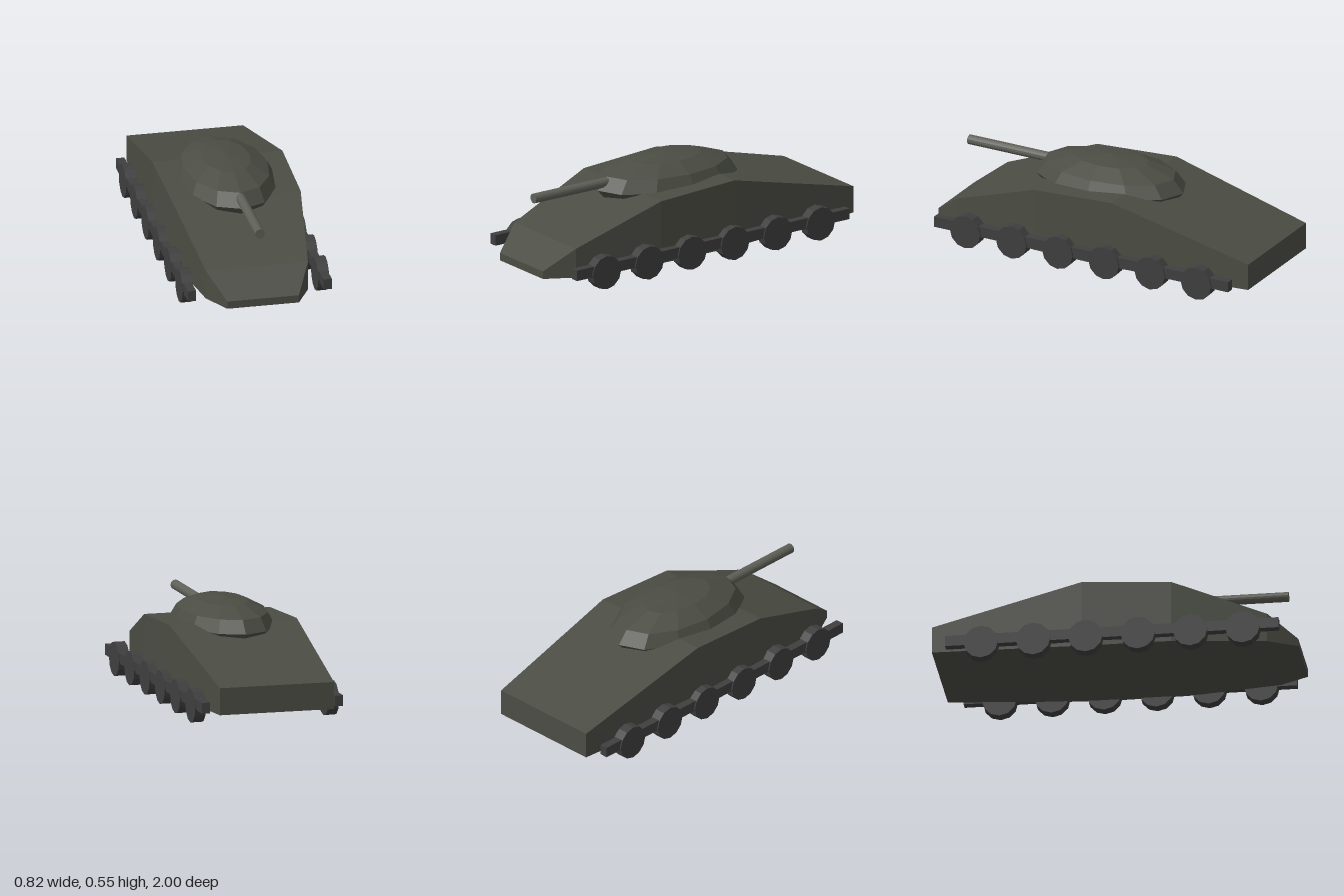
import * as THREE from 'three';

const paint = (color) => new THREE.MeshStandardMaterial({ color, flatShading: true });

// Lofts rectangular sections [z, halfWidth, bottom, top], ordered front to back
function hullGeometry(sections) {
  const pos = [];
  const rings = sections.map(([z, w, b, t]) => [[-w, b, z], [w, b, z], [w, t, z], [-w, t, z]]);
  const quad = (a, b, c, d) => pos.push(...a, ...b, ...c, ...a, ...c, ...d);
  for (let i = 0; i < rings.length - 1; i++) {
    const f = rings[i], r = rings[i + 1];
    for (let k = 0; k < 4; k++) {
      const n = (k + 1) % 4;
      quad(f[k], r[k], r[n], f[n]);
    }
  }
  quad(...rings[0]);
  quad(...rings[rings.length - 1].slice().reverse());
  const geo = new THREE.BufferGeometry();
  geo.setAttribute('position', new THREE.Float32BufferAttribute(pos, 3));
  geo.computeVertexNormals();
  return geo;
}

export function createModel() {
  const model = new THREE.Group();
  model.name = 'tank';
  const armour = paint(0x4b4d44);
  const steel = paint(0x5e5f57);
  const dark = paint(0x3e3f3e);

  const add = (name, geometry, material, x, y, z, parent = model) => {
    const mesh = new THREE.Mesh(geometry, material);
    mesh.name = name;
    mesh.position.set(x, y, z);
    parent.add(mesh);
    return mesh;
  };

  // Sloped hull with a narrow nose
  add('hull', hullGeometry([
    [1, 0.2, 0.057, 0.1],
    [0.84, 0.285, 0.057, 0.222],
    [0.32, 0.358, 0.057, 0.413],
    [-0.17, 0.363, 0.057, 0.44],
    [-1, 0.325, 0.085, 0.235],
  ]), armour, 0, 0, 0);

  // Faceted oval turret
  add('turret', new THREE.SphereGeometry(1, 12, 6).scale(0.27, 0.14, 0.45), armour, 0, 0.41, 0.035);

  // Gun barrel
  add('gunBarrel', new THREE.CylinderGeometry(0.027, 0.027, 0.72, 16).rotateX(Math.PI / 2), steel, 0, 0.45, 0.56);

  // Running gear: a bar with six wheels on each side
  const wheel = new THREE.CylinderGeometry(0.095, 0.095, 0.061, 12).rotateZ(Math.PI / 2);
  const bar = new THREE.BoxGeometry(0.046, 0.06, 1.835);
  for (const side of [-1, 1]) {
    const gear = new THREE.Group();
    gear.name = side > 0 ? 'leftRunningGear' : 'rightRunningGear';
    model.add(gear);
    add('trackBar', bar, dark, side * 0.379, 0.113, 0, gear);
    for (let i = 0; i < 6; i++) {
      add('wheel', wheel, dark, side * 0.379, 0.095, 0.72 - i * 0.288, gear);
    }
  }
  return model;
}
